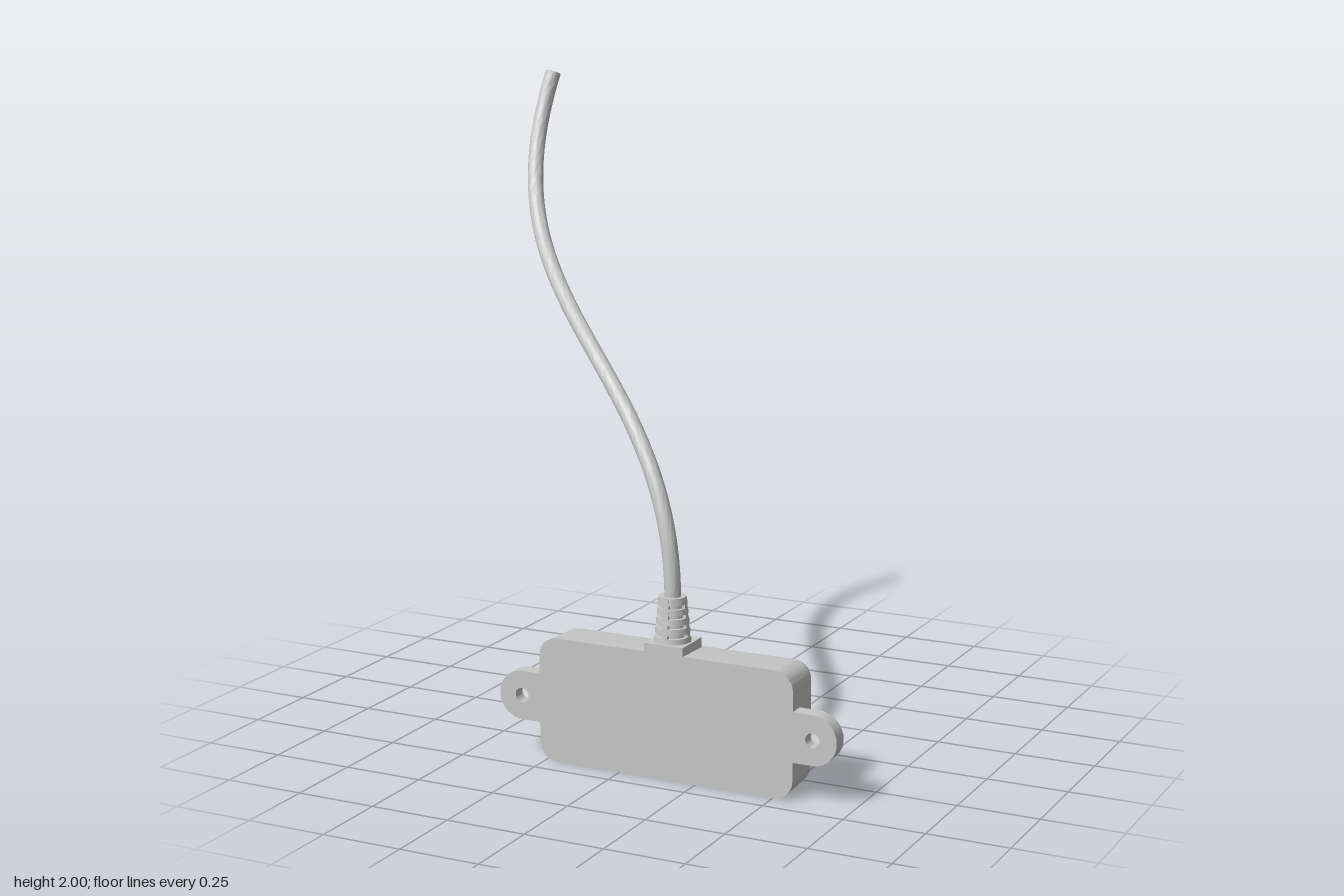
import * as THREE from 'three';
import { toCreasedNormals } from 'three/addons/utils/BufferGeometryUtils.js';

const CX = 0.147, CY = 0.195; // centre of the switch box
const grey = new THREE.MeshStandardMaterial({ color: 0xc8c8c8 });
grey.name = 'light grey plastic';

function part(name, geometry, x = 0, y = 0, z = 0) {
  const mesh = new THREE.Mesh(toCreasedNormals(geometry, 0.6), grey);
  mesh.name = name;
  mesh.position.set(x, y, z);
  return mesh;
}

const lathe = (profile, segments = 48) =>
  new THREE.LatheGeometry(profile.map(([r, y]) => new THREE.Vector2(r, y)), segments);

// Lofted rounded rectangle: sections are [z, inset], running from front to back
function loftedBox(w, h, radius, sections, steps = 10) {
  const ring = [];
  [[1, 1], [-1, 1], [-1, -1], [1, -1]].forEach(([sx, sy], q) => {
    for (let i = 0; i <= steps; i++) ring.push([sx, sy, (q + i / steps) * Math.PI / 2]);
  });
  const n = ring.length, pos = [], index = [];
  for (const [z, d] of sections) {
    for (const [sx, sy, a] of ring) {
      pos.push(sx * (w - radius) + Math.cos(a) * (radius - d),
        sy * (h - radius) + Math.sin(a) * (radius - d), z);
    }
  }
  const last = sections.length - 1, front = n * sections.length, back = front + 1;
  pos.push(0, 0, sections[0][0], 0, 0, sections[last][0]);
  for (let i = 0; i < n; i++) {
    const j = (i + 1) % n;
    for (let s = 0; s < last; s++) {
      const a = s * n + i, b = s * n + j;
      index.push(a, a + n, b, b, a + n, b + n);
    }
    index.push(front, i, j, back, last * n + j, last * n + i);
  }
  const g = new THREE.BufferGeometry();
  g.setAttribute('position', new THREE.Float32BufferAttribute(pos, 3));
  g.setIndex(index);
  return g;
}

// Tab outline: straight sides ending in a half circle
function tabPath(PathType, x0, r) {
  const p = new PathType();
  p.moveTo(x0, -r);
  p.lineTo(0.476, -r);
  p.absarc(0.476, 0, r, -Math.PI / 2, Math.PI / 2, false);
  p.lineTo(x0, r);
  p.closePath();
  return p;
}

const extrude = (shape, depth) =>
  new THREE.ExtrudeGeometry(shape, { depth, bevelEnabled: false, curveSegments: 24 });

function screwHole() {
  return new THREE.Path().absarc(0.476, 0, 0.022, 0, Math.PI * 2, true);
}

function mountingTab(name) {
  const tab = new THREE.Group();
  tab.name = name;
  const floor = tabPath(THREE.Shape, 0.39, 0.076);
  floor.holes.push(screwHole());
  tab.add(part('tabFloor', extrude(floor, 0.025), 0, 0, 0.405));
  // Raised rim and the boss round the screw hole
  const rim = tabPath(THREE.Shape, 0.38, 0.076);
  rim.holes.push(tabPath(THREE.Path, 0.395, 0.064));
  tab.add(part('tabRim', extrude(rim, 0.025), 0, 0, 0.38));
  const boss = new THREE.Shape().absarc(0.476, 0, 0.034, 0, Math.PI * 2, false);
  boss.holes.push(screwHole());
  tab.add(part('screwBoss', extrude(boss, 0.015), 0, 0, 0.39));
  tab.position.set(CX, CY, 0);
  return tab;
}

function button(name, x) {
  const g = lathe([[0.114, -0.01], [0.114, 0.006], [0.118, 0.012], [0.118, 0.044],
    [0.115, 0.052], [0.108, 0.056], [0.079, 0.056], [0.079, 0.077],
    [0.076, 0.081], [0, 0.081]]);
  g.rotateX(-Math.PI / 2);
  return part(name, g, x, CY, 0.266);
}

function strainRelief() {
  const group = new THREE.Group();
  group.name = 'strainRelief';
  group.position.set(CX, 0, 0.368);
  group.add(part('collar', new THREE.BoxGeometry(0.126, 0.04, 0.124), 0, 0.394, 0));
  // Tapered core with stacked rings
  group.add(part('core', lathe([[0.043, 0.41], [0.033, 0.548], [0, 0.548]], 32)));
  for (let i = 0; i < 5; i++) {
    const y = 0.412 + i * 0.029, r = 0.056 - i * 0.0031, h = i === 4 ? 0.022 : 0.018;
    group.add(part('ring', lathe([[0.03, y], [r, y], [r - 0.002, y + h], [0.03, y + h]], 32)));
  }
  // Upright ribs joining the rings
  for (let i = 0; i < 4; i++) {
    const a = i * Math.PI / 2;
    const rib = part('rib', new THREE.BoxGeometry(0.016, 0.135, 0.018),
      Math.sin(a) * 0.039, 0.48, Math.cos(a) * 0.039);
    rib.rotation.set(-0.09, a, 0, 'YXZ');
    group.add(rib);
  }
  return group;
}

function cable() {
  const group = new THREE.Group();
  group.name = 'cable';
  // One smooth sweep up, to the right and backwards
  const curve = new THREE.CubicBezierCurve3(
    new THREE.Vector3(0.147, 0.54, 0.368), new THREE.Vector3(0.147, 1.28, 0.368),
    new THREE.Vector3(-0.79, 1.25, -0.13), new THREE.Vector3(-0.666, 1.991, -0.406));
  const r = 0.0245;
  group.add(part('cableSheath', new THREE.TubeGeometry(curve, 90, r, 24)));
  const end = part('cableEnd', new THREE.CircleGeometry(r, 24));
  end.position.copy(curve.getPoint(1));
  end.quaternion.setFromUnitVectors(new THREE.Vector3(0, 0, 1), curve.getTangent(1));
  group.add(end);
  return group;
}

export function createModel() {
  const model = new THREE.Group();
  model.name = 'twoButtonSwitch';

  // Housing: flat front plate, slight draft and a rounded back edge
  const sections = [[0.43, 0]];
  for (let i = 0; i <= 6; i++) {
    const a = i / 6 * Math.PI / 2;
    sections.push([0.296 - 0.03 * Math.sin(a), 0.005 + 0.03 * (1 - Math.cos(a))]);
  }
  model.add(part('housing', loftedBox(0.415, 0.193, 0.06, sections), CX, CY, 0));

  const leftTab = mountingTab('leftTab');
  const rightTab = mountingTab('rightTab');
  rightTab.rotation.z = Math.PI;
  model.add(leftTab, rightTab);

  model.add(button('leftButton', 0.369), button('rightButton', -0.075));
  model.add(strainRelief(), cable());
  return model;
}
